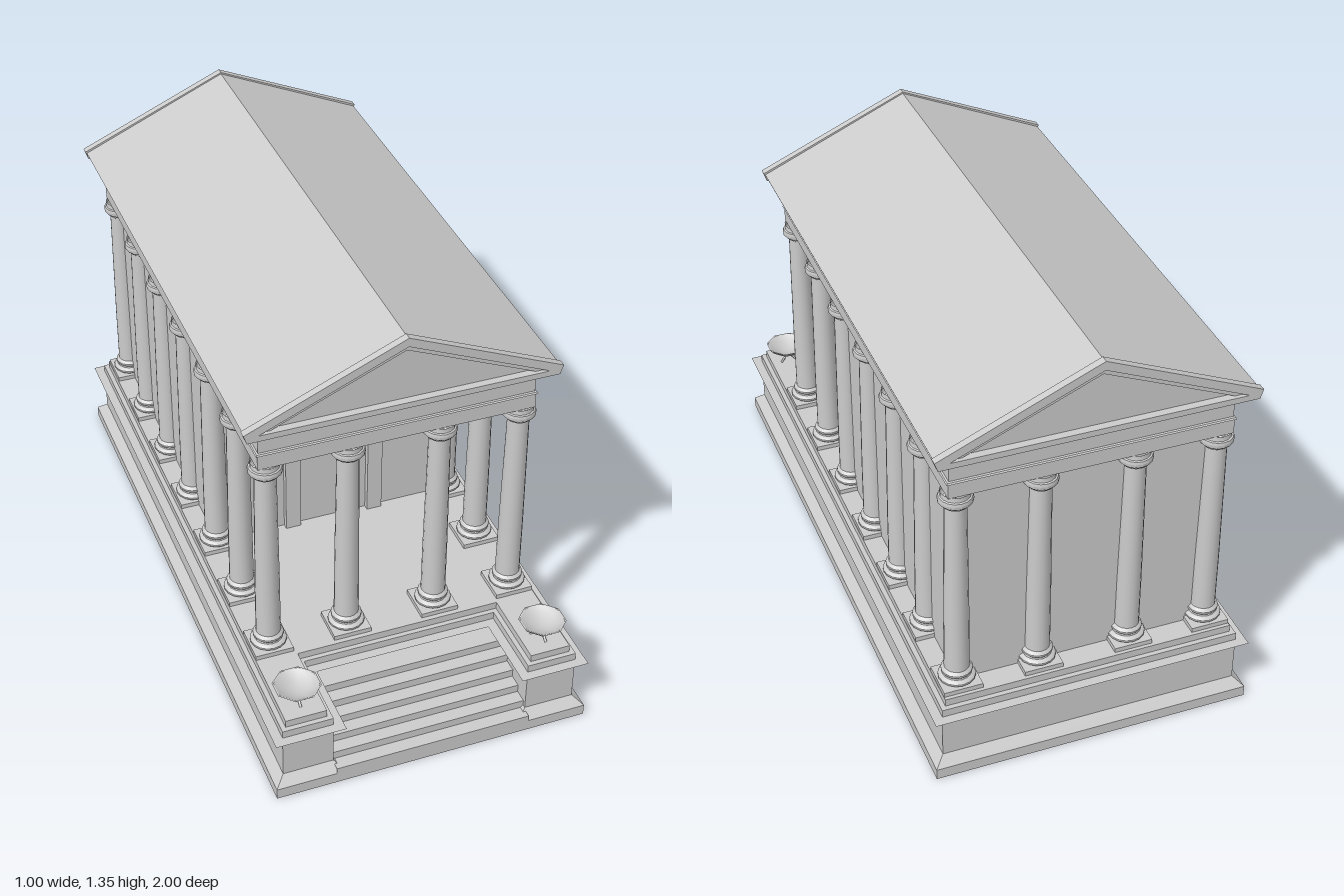
import * as THREE from 'three';
import { toCreasedNormals } from 'three/addons/utils/BufferGeometryUtils.js';

const grey = new THREE.MeshStandardMaterial({ color: 0xcccccc, side: THREE.DoubleSide });
const V = (x, y) => new THREE.Vector2(x, y);
const MID = -0.128; // z centre of the colonnade and roof

function add(parent, name, geometry, x = 0, y = 0, z = 0) {
  const mesh = new THREE.Mesh(geometry, grey);
  mesh.name = name;
  mesh.position.set(x, y, z);
  parent.add(mesh);
  return mesh;
}

const box = (parent, name, w, h, d, x, y, z) =>
  add(parent, name, new THREE.BoxGeometry(w, h, d), x, y + h / 2, z);

const lathe = (points, sides) =>
  toCreasedNormals(new THREE.LatheGeometry(points.map(p => V(...p)), sides), 0.6);

// Sweeps a moulding profile of [offset, height] around a plan outline
function moulding(outline, profile) {
  const pos = [];
  for (let k = 0; k + 1 < profile.length; k++) {
    const [d0, y0] = profile[k], [d1, y1] = profile[k + 1];
    const low = outline(d0), high = outline(d1);
    low.forEach((p, i) => {
      const j = (i + 1) % low.length;
      const a = [p[0], y0, -p[1]], b = [low[j][0], y0, -low[j][1]];
      const c = [high[i][0], y1, -high[i][1]], d = [high[j][0], y1, -high[j][1]];
      pos.push(...a, ...b, ...d, ...a, ...d, ...c);
    });
  }
  const g = new THREE.BufferGeometry();
  g.setAttribute('position', new THREE.Float32BufferAttribute(pos, 3));
  g.computeVertexNormals();
  return g;
}

// Horizontal slab face filling a plan outline
const cap = points => new THREE.ShapeGeometry(new THREE.Shape(points.map(p => V(...p)))).rotateX(-Math.PI / 2);

// Plan with a notch for the stairs, as (x, -z)
function podiumPlan(d) {
  const X = 0.47 + d, Z = 0.97 + d, n = 0.312 - d, N = 0.718 + d;
  return [[-X, -Z], [-n, -Z], [-n, -N], [n, -N], [n, -Z], [X, -Z], [X, Z], [-X, Z]];
}

function entablaturePlan(d) {
  const X = 0.425 + d, Z = 0.789 + d;
  return [[-X, -Z], [X, -Z], [X, Z], [-X, Z]];
}

function extrude(outer, depth, hole) {
  const shape = new THREE.Shape(outer.map(p => V(...p)));
  if (hole) shape.holes.push(new THREE.Path(hole.map(p => V(...p))));
  return new THREE.ExtrudeGeometry(shape, { depth, bevelEnabled: false });
}

function buildPodium(root) {
  const g = new THREE.Group();
  g.name = 'podium';
  root.add(g);
  add(g, 'podiumWalls', moulding(podiumPlan, [
    [0.03, 0], [0.03, 0.036], [0, 0.064], [0, 0.188], [0.03, 0.213], [0, 0.213],
    [0, 0.238], [-0.015, 0.238], [-0.015, 0.262]]));
  add(g, 'podiumFloor', cap(podiumPlan(-0.015)), 0, 0.262);

  // Stairs as a thin folded sheet, open underneath
  const count = 6, rise = 0.0262, tread = 0.042;
  const path = [[0.718, 0.213 - rise]];
  for (let k = 1; k <= count; k++) {
    const z = 0.748 + k * tread, y = 0.213 - k * rise;
    path.push([z, y], [z, k < count ? y - rise : 0]);
  }
  const pos = [];
  for (let i = 0; i + 1 < path.length; i++) {
    const [z0, y0] = path[i], [z1, y1] = path[i + 1], w = 0.312;
    pos.push(-w, y0, z0, -w, y1, z1, w, y1, z1, -w, y0, z0, w, y1, z1, w, y0, z0);
  }
  const stairs = new THREE.BufferGeometry();
  stairs.setAttribute('position', new THREE.Float32BufferAttribute(pos, 3));
  stairs.computeVertexNormals();
  add(g, 'stairs', stairs);
}

function buildColumns(root) {
  const shaft = lathe([
    [0.05, 0.277], [0.056, 0.283], [0.056, 0.289], [0.05, 0.295], [0.044, 0.297],
    [0.043, 0.302], [0.047, 0.307], [0.047, 0.313], [0.043, 0.318], [0.038, 0.322],
    [0.0375, 0.5], [0.033, 0.912], [0.037, 0.915], [0.037, 0.922], [0.045, 0.924],
    [0.051, 0.931], [0.052, 0.94], [0.049, 0.948], [0.044, 0.95], [0.044, 0.966]], 16);
  const places = [];
  for (const s of [-1, 1]) {
    for (let i = 0; i < 7; i++) places.push([s * 0.394, 0.628 - i * 0.252]);
    for (const z of [0.628, -0.884]) places.push([s * 0.143, z]);
  }
  for (const [x, z] of places) {
    const column = new THREE.Group();
    column.name = 'column';
    column.position.set(x, 0, z);
    root.add(column);
    box(column, 'plinth', 0.12, 0.015, 0.12, 0, 0.262, 0);
    add(column, 'shaftAndCapital', shaft);
  }
}

function buildChamber(root) {
  const front = 0.125, back = -0.884;
  box(root, 'chamberWalls', 0.788, 0.705, front - back, 0, 0.262, (front + back) / 2);
  // Door surround and its flared hood
  for (const s of [-1, 1]) box(root, 'doorJamb', 0.05, 0.563, 0.02, s * 0.14, 0.262, front + 0.01);
  box(root, 'doorLintel', 0.33, 0.065, 0.02, 0, 0.825, front + 0.01);
  add(root, 'doorHood', extrude([[-0.17, 0.89], [0.17, 0.89], [0.2, 0.915], [0.2, 0.923], [-0.2, 0.923], [-0.2, 0.915]], 0.033), 0, 0, front);
}

function buildRoof(root) {
  // Beams and flared cornice
  add(root, 'entablature', moulding(entablaturePlan, [
    [0.003, 0.965], [0.003, 1.012], [0.008, 1.015], [0.005, 1.02], [0, 1.022],
    [0, 1.067], [0.034, 1.106]]), 0, 0, MID);
  add(root, 'ceiling', cap(entablaturePlan(0.003)).rotateX(Math.PI), 0, 0.965, MID);

  const gable = [[-0.473, 1.106], [0.473, 1.106], [0.483, 1.135], [0, 1.345], [-0.483, 1.135]];
  const half = 0.818, edge = 0.024;
  add(root, 'roof', extrude(gable.map(([x, y]) => [x * 0.99, y > 1.11 ? y - 0.005 : y]), half * 2), 0, 0, MID - half);
  // Raking cornices with a stepped recess at both ends
  const outerHole = [[-0.44, 1.125], [0.44, 1.125], [0, 1.316]];
  const innerHole = [[-0.40, 1.125], [0.40, 1.125], [0, 1.297]];
  const rake = extrude(gable, edge, outerHole);
  const inset = extrude(outerHole, edge / 2, innerHole);
  for (const s of [-1, 1]) {
    const end = new THREE.Group();
    end.name = s > 0 ? 'frontPediment' : 'backPediment';
    end.position.z = MID + s * half;
    end.rotation.y = s > 0 ? 0 : Math.PI;
    root.add(end);
    add(end, 'rakingCornice', rake);
    add(end, 'innerMoulding', inset);
  }
}

function buildBraziers(root) {
  const bowl = lathe([[0, 0.286], [0.03, 0.292], [0.055, 0.306], [0.073, 0.324], [0.068, 0.324],
    [0.05, 0.311], [0.025, 0.3], [0, 0.297]], 8);
  const leg = new THREE.TubeGeometry(new THREE.CatmullRomCurve3([
    [0.034, 0.262], [0.024, 0.27], [0.012, 0.28], [0.018, 0.289], [0.034, 0.297]
  ].map(([r, y]) => new THREE.Vector3(r, y, 0))), 8, 0.004, 5);
  for (const s of [-1, 1]) {
    const g = new THREE.Group();
    g.name = s > 0 ? 'leftBrazier' : 'rightBrazier';
    g.position.set(s * 0.394, 0, 0.882);
    root.add(g);
    add(g, 'bowl', bowl).rotation.y = Math.PI / 8;
    for (let i = 0; i < 3; i++) add(g, 'leg', leg).rotation.y = Math.PI / 6 + i * Math.PI * 2 / 3;
  }
}

export function createModel() {
  const root = new THREE.Group();
  root.name = 'temple';
  buildPodium(root);
  buildColumns(root);
  buildChamber(root);
  buildRoof(root);
  buildBraziers(root);
  return root;
}
